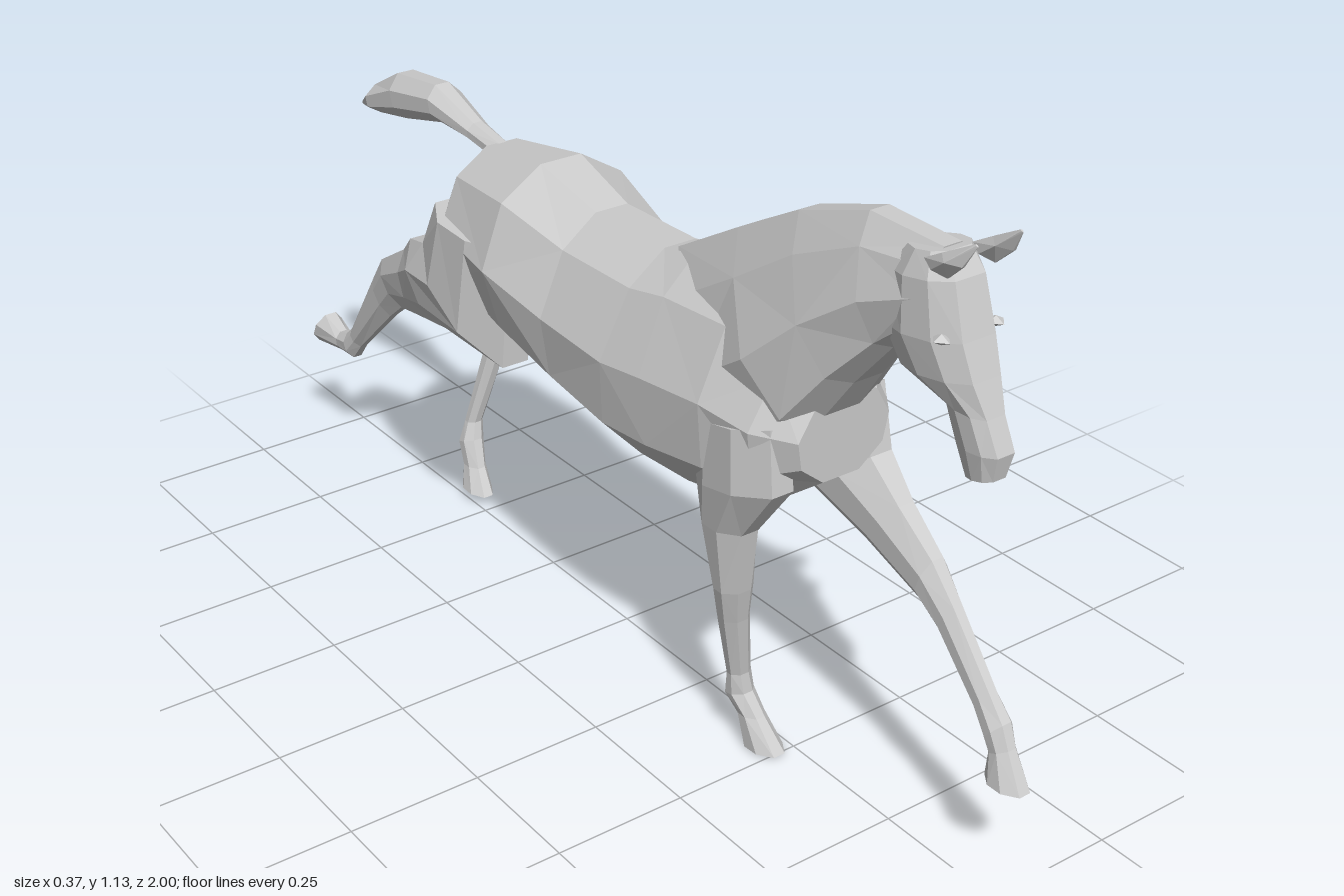
import * as THREE from 'three';

const coat = new THREE.MeshStandardMaterial({ color: 0xcccccc });
coat.name = 'plain grey coat';

// Half cross-sections [side, up], from the first edge to the second
const BODY = [[0.22, 1], [0.68, 0.72], [1, 0.1], [0.9, -0.5], [0.4, -0.95]];
const NECK = [[0.3, 1], [0.75, 0.55], [1, -0.2], [0.7, -0.85], [0.25, -1]];
const HEAD = [[0.5, 1], [0.9, 0.55], [1, -0.1], [0.75, -0.75], [0.35, -1]];
const LIMB = [[0.4, 1], [1, 0.35], [1, -0.4], [0.4, -1]];
const BLADE = [[0.15, 1], [1, 0], [0.15, -1]];

// Faceted loft. Each ring: [x, halfWidth, y1, z1, y2, z2, taper],
// where the two (y, z) points are its outline edges seen from the side.
function loft(name, profile, rings) {
  const section = [...profile, ...profile.slice().reverse().map(([u, v]) => [-u, v])];
  const loops = rings.map(([x, w, y1, z1, y2, z2, taper = 0]) => section.map(([u, v]) =>
    new THREE.Vector3(
      x + u * w * (1 + taper * v),
      (y1 + y2) / 2 + v * (y1 - y2) / 2,
      (z1 + z2) / 2 + v * (z1 - z2) / 2)));
  const n = section.length;
  const tris = [];
  for (let i = 0; i < loops.length - 1; i++) {
    for (let j = 0; j < n; j++) {
      const k = (j + 1) % n;
      const a = loops[i][j], b = loops[i][k], c = loops[i + 1][k], d = loops[i + 1][j];
      if ((i + j) % 2) tris.push([a, b, c], [a, c, d]);
      else tris.push([a, b, d], [b, c, d]);
    }
  }
  const first = loops[0], last = loops[loops.length - 1];
  for (let j = 1; j < n - 1; j++) {
    tris.push([first[0], first[j + 1], first[j]], [last[0], last[j], last[j + 1]]);
  }
  // Turn the faces outward whichever way the rings run
  const volume = tris.reduce((s, [a, b, c]) => s + a.dot(b.clone().cross(c)), 0);
  const points = tris.flatMap(([a, b, c]) => (volume < 0 ? [a, c, b] : [a, b, c]));
  const geometry = new THREE.BufferGeometry().setFromPoints(points);
  geometry.computeVertexNormals();
  const mesh = new THREE.Mesh(geometry, coat);
  mesh.name = name;
  return mesh;
}

export function createModel() {
  const horse = new THREE.Group();
  horse.name = 'gallopingHorse';

  // Trunk from chest to rump
  horse.add(loft('torso', BODY, [
    [-0.005, 0.095, 0.76, 0.60, 0.59, 0.595],
    [-0.005, 0.145, 0.82, 0.54, 0.53, 0.52],
    [-0.01, 0.16, 0.88, 0.42, 0.485, 0.43, -0.1],
    [-0.012, 0.165, 0.87, 0.25, 0.465, 0.30, -0.15],
    [-0.012, 0.168, 0.853, 0.17, 0.455, 0.16, -0.1],
    [-0.012, 0.165, 0.848, -0.03, 0.48, 0, -0.05],
    [-0.01, 0.178, 0.888, -0.19, 0.505, -0.17, 0.12],
    [-0.014, 0.145, 0.86, -0.38, 0.55, -0.36, 0.05],
    [-0.015, 0.085, 0.78, -0.45, 0.6, -0.465],
  ]));

  horse.add(loft('neck', NECK, [
    [-0.012, 0.11, 0.865, 0.20, 0.60, 0.45, -0.2],
    [-0.012, 0.118, 0.955, 0.355, 0.70, 0.585, -0.3],
    [-0.012, 0.095, 1.035, 0.50, 0.80, 0.655, -0.25],
    [-0.012, 0.075, 1.09, 0.66, 0.89, 0.73, -0.15],
    [-0.012, 0.058, 1.088, 0.82, 0.96, 0.80],
  ]));

  horse.add(loft('head', HEAD, [
    [-0.012, 0.045, 1.088, 0.835, 1.075, 0.75],
    [-0.012, 0.06, 1.05, 0.86, 1.03, 0.715],
    [-0.01, 0.066, 0.96, 0.885, 0.94, 0.71],
    [-0.008, 0.056, 0.90, 0.905, 0.88, 0.745],
    [-0.004, 0.037, 0.845, 0.925, 0.85, 0.835],
    [0, 0.035, 0.79, 0.948, 0.785, 0.858],
    [0, 0.026, 0.745, 0.938, 0.732, 0.88],
  ]));

  // Ears and brows on both sides
  for (const [label, s] of [['left', 1], ['right', -1]]) {
    const x = -0.01 + s * 0.047;
    horse.add(loft(label + 'Ear', BLADE, [
      [x, 0.012, 1.06, 0.86, 1.075, 0.81],
      [x + s * 0.003, 0.019, 1.09, 0.892, 1.098, 0.85],
      [x - s * 0.003, 0.002, 1.127, 0.912, 1.13, 0.907],
    ]));
    const brow = new THREE.Mesh(new THREE.OctahedronGeometry(1).scale(0.016, 0.009, 0.018), coat);
    brow.name = label + 'Brow';
    brow.position.set(-0.01 + s * 0.054, 0.965, 0.862);
    horse.add(brow);
  }

  // Left foreleg reaching forward
  horse.add(loft('leftForeleg', LIMB, [
    [0.09, 0.055, 0.72, 0.56, 0.62, 0.40],
    [0.09, 0.058, 0.60, 0.585, 0.485, 0.44],
    [0.072, 0.04, 0.55, 0.67, 0.455, 0.60],
    [0.062, 0.03, 0.495, 0.76, 0.415, 0.735],
    [0.06, 0.023, 0.435, 0.815, 0.38, 0.785],
    [0.056, 0.02, 0.325, 0.91, 0.285, 0.88],
    [0.056, 0.024, 0.285, 0.945, 0.245, 0.91],
    [0.055, 0.021, 0.245, 0.962, 0.225, 0.92],
    [0.053, 0.029, 0.18, 1.0, 0.18, 0.92],
  ]));

  // Right foreleg under the chest
  horse.add(loft('rightForeleg', LIMB, [
    [-0.105, 0.055, 0.70, 0.56, 0.66, 0.38],
    [-0.105, 0.055, 0.58, 0.57, 0.54, 0.37],
    [-0.105, 0.044, 0.47, 0.49, 0.47, 0.385],
    [-0.095, 0.035, 0.34, 0.468, 0.34, 0.41],
    [-0.085, 0.028, 0.27, 0.453, 0.27, 0.405],
    [-0.06, 0.022, 0.14, 0.432, 0.14, 0.40],
    [-0.054, 0.025, 0.10, 0.436, 0.09, 0.388],
    [-0.048, 0.022, 0.06, 0.465, 0.06, 0.412],
    [-0.042, 0.03, 0.005, 0.512, 0, 0.425],
  ]));

  // Left hind leg, folded under
  horse.add(loft('leftHindLeg', LIMB, [
    [0.08, 0.07, 0.74, -0.18, 0.75, -0.43],
    [0.105, 0.073, 0.50, -0.175, 0.61, -0.45],
    [0.125, 0.052, 0.435, -0.30, 0.55, -0.41],
    [0.098, 0.034, 0.385, -0.46, 0.46, -0.53],
    [0.086, 0.027, 0.365, -0.52, 0.425, -0.572],
    [0.075, 0.02, 0.32, -0.545, 0.33, -0.588],
    [0.04, 0.018, 0.16, -0.583, 0.16, -0.613],
    [0.032, 0.024, 0.125, -0.573, 0.11, -0.622],
    [0.025, 0.02, 0.07, -0.55, 0.07, -0.602],
    [0.018, 0.026, 0.02, -0.515, 0.025, -0.597],
  ]));

  // Right hind leg, kicked back
  horse.add(loft('rightHindLeg', LIMB, [
    [-0.105, 0.07, 0.74, -0.18, 0.75, -0.43],
    [-0.118, 0.07, 0.505, -0.19, 0.66, -0.46],
    [-0.108, 0.06, 0.495, -0.41, 0.64, -0.53],
    [-0.09, 0.043, 0.46, -0.55, 0.585, -0.60],
    [-0.085, 0.028, 0.44, -0.64, 0.52, -0.71],
    [-0.085, 0.023, 0.40, -0.69, 0.465, -0.75],
    [-0.085, 0.019, 0.275, -0.825, 0.305, -0.858],
    [-0.085, 0.023, 0.238, -0.855, 0.285, -0.88],
    [-0.085, 0.02, 0.235, -0.905, 0.275, -0.912],
    [-0.085, 0.031, 0.222, -1.0, 0.295, -0.965],
  ]));

  // Tail streaming behind
  horse.add(loft('tail', LIMB, [
    [-0.015, 0.02, 0.86, -0.37, 0.825, -0.39],
    [-0.015, 0.024, 0.875, -0.46, 0.838, -0.46],
    [-0.015, 0.038, 0.915, -0.585, 0.845, -0.565],
    [-0.016, 0.044, 0.90, -0.72, 0.815, -0.69],
    [-0.017, 0.045, 0.85, -0.81, 0.797, -0.79],
    [-0.017, 0.006, 0.79, -0.888, 0.782, -0.885],
  ]));

  return horse;
}
